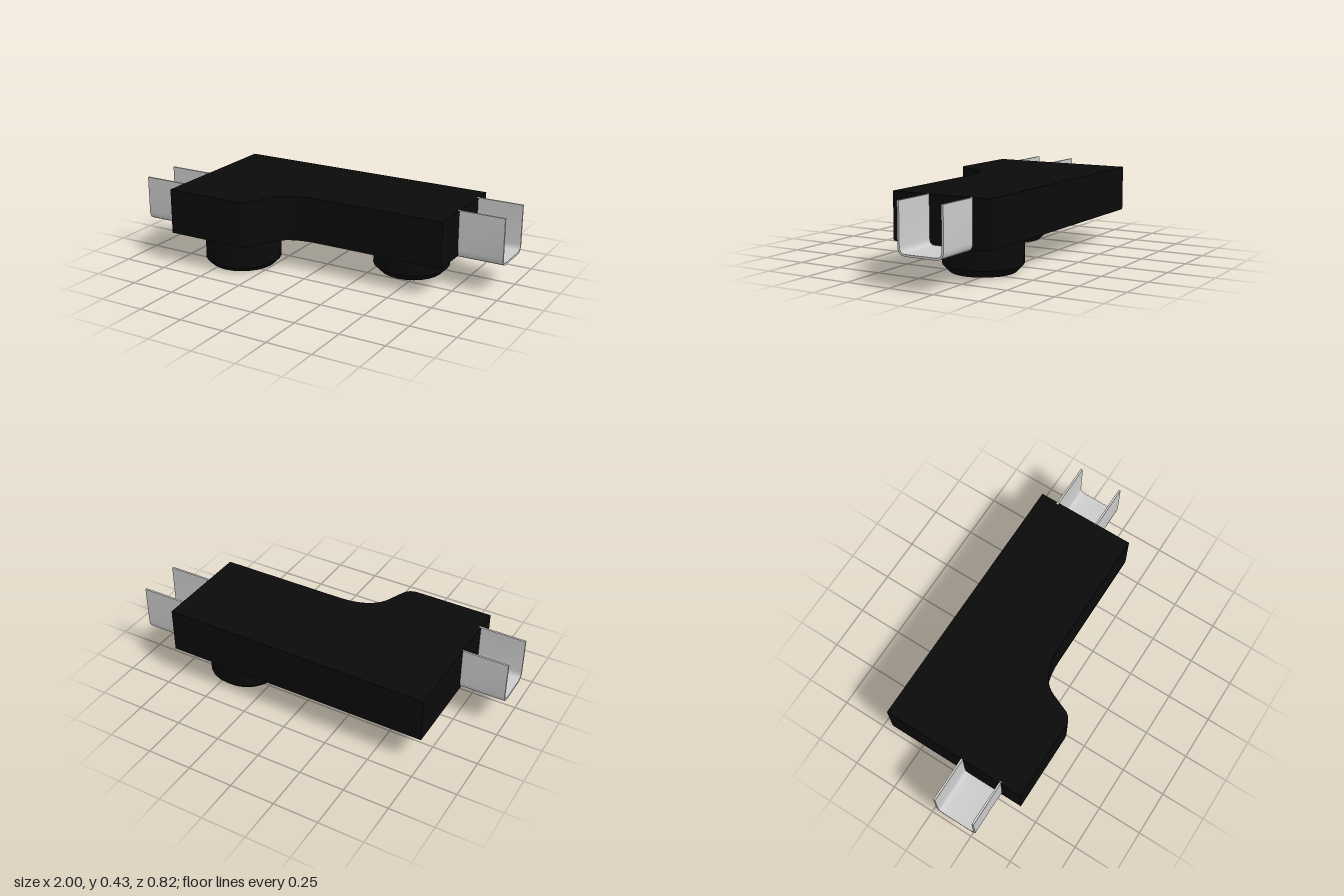
import * as THREE from 'three';
import { toCreasedNormals } from 'three/addons/utils/BufferGeometryUtils.js';

const black = new THREE.MeshStandardMaterial({ color: 0x0a0a0a });
const grey = new THREE.MeshStandardMaterial({ color: 0xcccccc });

function addMesh(parent, name, geometry, material) {
  const mesh = new THREE.Mesh(geometry, material);
  mesh.name = name;
  parent.add(mesh);
  return mesh;
}

// Flat block: wide at one end, stepped in along an S-curve at the front
function bodyGeometry() {
  const s = new THREE.Shape(); // drawn as (x, -z)
  s.moveTo(-0.75, -0.408);
  s.lineTo(-0.32, -0.408);
  s.quadraticCurveTo(-0.265, -0.408, -0.245, -0.355);
  s.lineTo(-0.21, -0.27);
  s.quadraticCurveTo(-0.16, -0.15, 0.04, -0.15);
  s.lineTo(0.75, -0.15);
  s.lineTo(0.75, 0.41);
  s.lineTo(-0.75, 0.41);
  s.closePath();
  const g = new THREE.ExtrudeGeometry(s, { depth: 0.25, bevelEnabled: false, curveSegments: 10 });
  g.rotateX(-Math.PI / 2).translate(0, 0.175, 0);
  return toCreasedNormals(g, 0.5);
}

// Thin U-shaped channel, open at the top, running along x
function channelGeometry(zCentre, width, bottom, length) {
  const top = 0.425, t = 0.011, r = 0.045, h = width / 2, i = h - t;
  const s = new THREE.Shape(); // drawn as (-z, y)
  s.moveTo(-h, top);
  s.lineTo(-h, bottom + r);
  s.quadraticCurveTo(-h, bottom, -h + r, bottom);
  s.lineTo(h - r, bottom);
  s.quadraticCurveTo(h, bottom, h, bottom + r);
  s.lineTo(h, top);
  s.lineTo(i, top);
  s.lineTo(i, bottom + r);
  s.quadraticCurveTo(i, bottom + t, h - r, bottom + t);
  s.lineTo(-h + r, bottom + t);
  s.quadraticCurveTo(-i, bottom + t, -i, bottom + r);
  s.lineTo(-i, top);
  s.closePath();
  const g = new THREE.ExtrudeGeometry(s, { depth: length, bevelEnabled: false, curveSegments: 4 });
  g.rotateY(Math.PI / 2).translate(0, 0, zCentre);
  return toCreasedNormals(g, 0.6);
}

const polygon = (radius, sides) => Array.from({ length: sides }, (_, k) => {
  const a = (k / sides) * Math.PI * 2;
  return new THREE.Vector2(Math.sin(a) * radius, Math.cos(a) * radius);
});

// Round bolt head with a chamfered lower edge and a hexagonal socket
function createBolt(name, chamfer) {
  const bolt = new THREE.Group();
  bolt.name = name;
  const radius = 0.21, sides = 24, socket = 0.1, depth = 0.09;
  const profile = [[radius - chamfer, 0], [radius, chamfer], [radius, 0.18]]
    .map(([x, y]) => new THREE.Vector2(x, y));
  addMesh(bolt, 'boltHead', toCreasedNormals(new THREE.LatheGeometry(profile, sides), 0.5), black);

  const face = new THREE.Shape(polygon(radius - chamfer, sides));
  face.holes.push(new THREE.Path(polygon(socket, 6)));
  addMesh(bolt, 'boltFace', new THREE.ShapeGeometry(face).rotateX(Math.PI / 2), black);

  const walls = new THREE.CylinderGeometry(socket, socket, depth, 6, 1, true);
  walls.scale(-1, 1, 1); // mirrored so the faces look inward
  const wallMesh = addMesh(bolt, 'socketWalls', toCreasedNormals(walls, 0.5), black);
  wallMesh.position.y = depth / 2;
  const floor = new THREE.ShapeGeometry(new THREE.Shape(polygon(socket, 6))).rotateX(Math.PI / 2);
  addMesh(bolt, 'socketFloor', floor, black).position.y = depth;
  return bolt;
}

export function createModel() {
  const model = new THREE.Group();
  model.name = 'offsetConnector';
  addMesh(model, 'body', bodyGeometry(), black);

  // Offset channels, one out of each end
  const left = addMesh(model, 'leftChannel', channelGeometry(-0.183, 0.258, 0.162, 0.26), grey);
  left.position.x = 0.74;
  const right = addMesh(model, 'rightChannel', channelGeometry(0.17, 0.242, 0.176, 0.26), grey);
  right.position.x = -1;

  // Bolt heads underneath, in line with the channels
  const leftBolt = createBolt('leftBolt', 0.04);
  leftBolt.position.set(0.43, 0, -0.175);
  const rightBolt = createBolt('rightBolt', 0.03);
  rightBolt.position.set(-0.44, 0, 0.173);
  model.add(leftBolt, rightBolt);
  return model;
}
